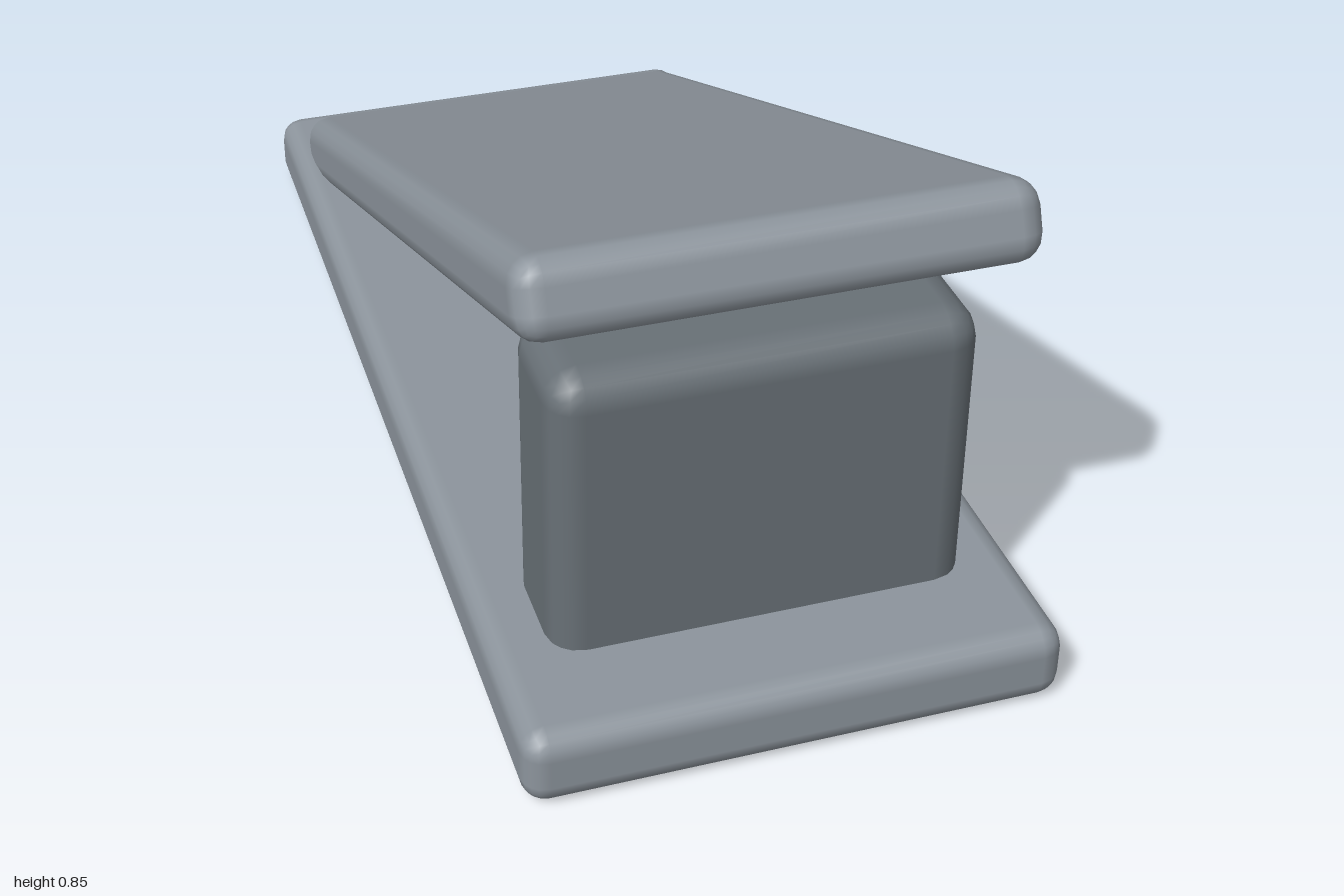
import * as THREE from 'three';
import { RoundedBoxGeometry } from 'three/addons/geometries/RoundedBoxGeometry.js';

const lightGrey = new THREE.MeshStandardMaterial({ color: 0x8c949c });
lightGrey.name = 'lightGrey';
const darkGrey = new THREE.MeshStandardMaterial({ color: 0x687076 });
darkGrey.name = 'darkGrey';

// Box with rounded edges, placed by its centre
function slab(name, [w, h, d], radius, [x, y, z], material) {
  const mesh = new THREE.Mesh(new RoundedBoxGeometry(w, h, d, 2, radius), material);
  mesh.name = name;
  mesh.position.set(x, y, z);
  return mesh;
}

export function createModel() {
  const group = new THREE.Group();
  group.name = 'pedal';

  // Flat base plate
  group.add(slab('basePlate', [0.87, 0.13, 2], 0.04, [0, 0.065, 0], lightGrey));

  // Stop block, sunk slightly into the base
  group.add(slab('stopBlock', [0.68, 0.57, 0.23], 0.055, [0, 0.335, 0.705], darkGrey));

  // Tilted plate, raised at the front and sunk into the base at the back
  const plate = slab('tiltedPlate', [0.8, 0.13, 1.86], 0.045, [0, 0.459, 0], lightGrey);
  plate.rotation.x = -0.377;
  group.add(plate);

  return group;
}
